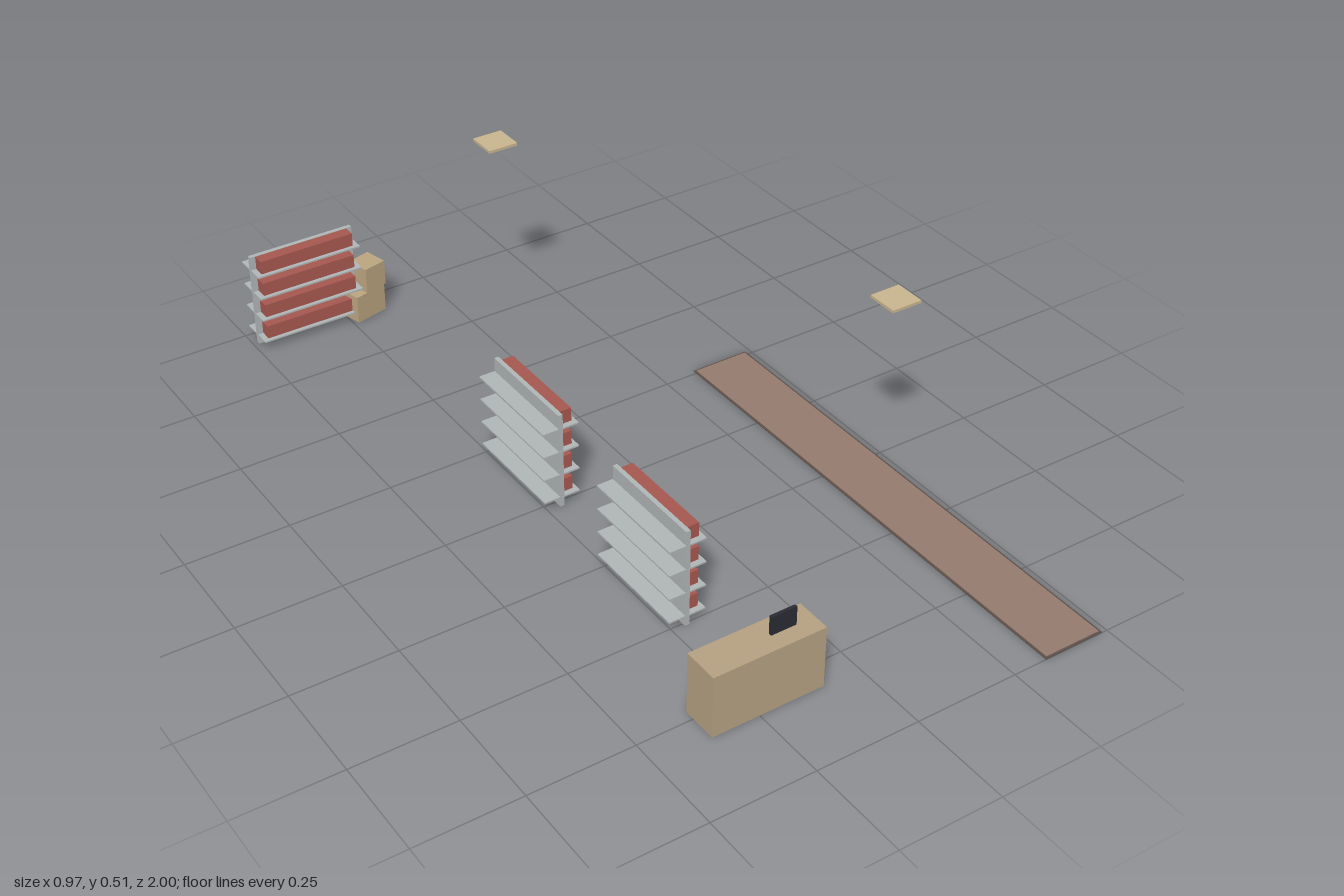
import * as THREE from 'three';

function mat(name, color) {
  const m = new THREE.MeshStandardMaterial({ color });
  m.name = name;
  return m;
}

export function createModel() {
  const model = new THREE.Group();
  model.name = 'shopInterior';

  const grey = mat('shelfGrey', 0xb0b5b6);
  const red = mat('stockRed', 0xa5574f);
  const tan = mat('counterTan', 0xb5a182);
  const carton = mat('cartonTan', 0xbba580);
  const pale = mat('panelBeige', 0xc8b590);
  const dark = mat('screenDark', 0x2a2a33);
  const rugTop = mat('rugBrown', 0x947a6e);
  const rugEdge = mat('rugDarkBrown', 0x5e5049);

  // Box given by its size and centre
  function box(parent, name, material, size, pos, turn = 0) {
    const mesh = new THREE.Mesh(new THREE.BoxGeometry(...size), material);
    mesh.name = name;
    mesh.position.set(...pos);
    mesh.rotation.y = turn;
    parent.add(mesh);
    return mesh;
  }

  // Shelf unit: central panel, four boards, goods on the front side only
  function shelfUnit(name, x, z, turn) {
    const unit = new THREE.Group();
    unit.name = name;
    box(unit, 'backPanel', grey, [0.272, 0.245, 0.011], [0, 0.1225, 0]);
    for (let i = 0; i < 4; i++) {
      const y = 0.025 + i * 0.061;
      box(unit, 'shelfBoard', grey, [0.273, 0.004, 0.091], [0, y, 0]);
      box(unit, 'shelfGoods', red, [0.245, 0.034, 0.03], [0, y + 0.019, 0.0205]);
    }
    unit.position.set(x, 0, z);
    unit.rotation.y = turn;
    model.add(unit);
  }
  shelfUnit('rearShelf', -0.351, -0.955, 0);
  shelfUnit('middleShelf', -0.2135, -0.116, Math.PI / 2);
  shelfUnit('frontShelf', -0.2135, 0.372, Math.PI / 2);

  // Counter with an upright screen
  box(model, 'counter', tan, [0.273, 0.153, 0.088], [-0.2285, 0.0765, 0.77]);
  box(model, 'counterScreen', dark, [0.062, 0.046, 0.008], [-0.168, 0.176, 0.77]);

  // Two stacked cartons, slightly turned
  box(model, 'lowerCarton', carton, [0.09, 0.072, 0.07], [-0.203, 0.036, -0.944], 0.25);
  box(model, 'upperCarton', carton, [0.062, 0.066, 0.062], [-0.183, 0.105, -0.945], 0.25);

  // Long rug with a dark border
  box(model, 'rugBase', rugEdge, [0.153, 0.002, 1.26], [0.41, 0.001, 0.37]);
  box(model, 'rugSurface', rugTop, [0.143, 0.002, 1.25], [0.41, 0.0025, 0.37]);

  // Hanging ceiling panels
  for (const [x, z] of [[0.06, -0.703], [0.411, 0.368]]) {
    box(model, 'ceilingPanel', pale, [0.076, 0.007, 0.076], [x, 0.5075, z]);
  }

  return model;
}
